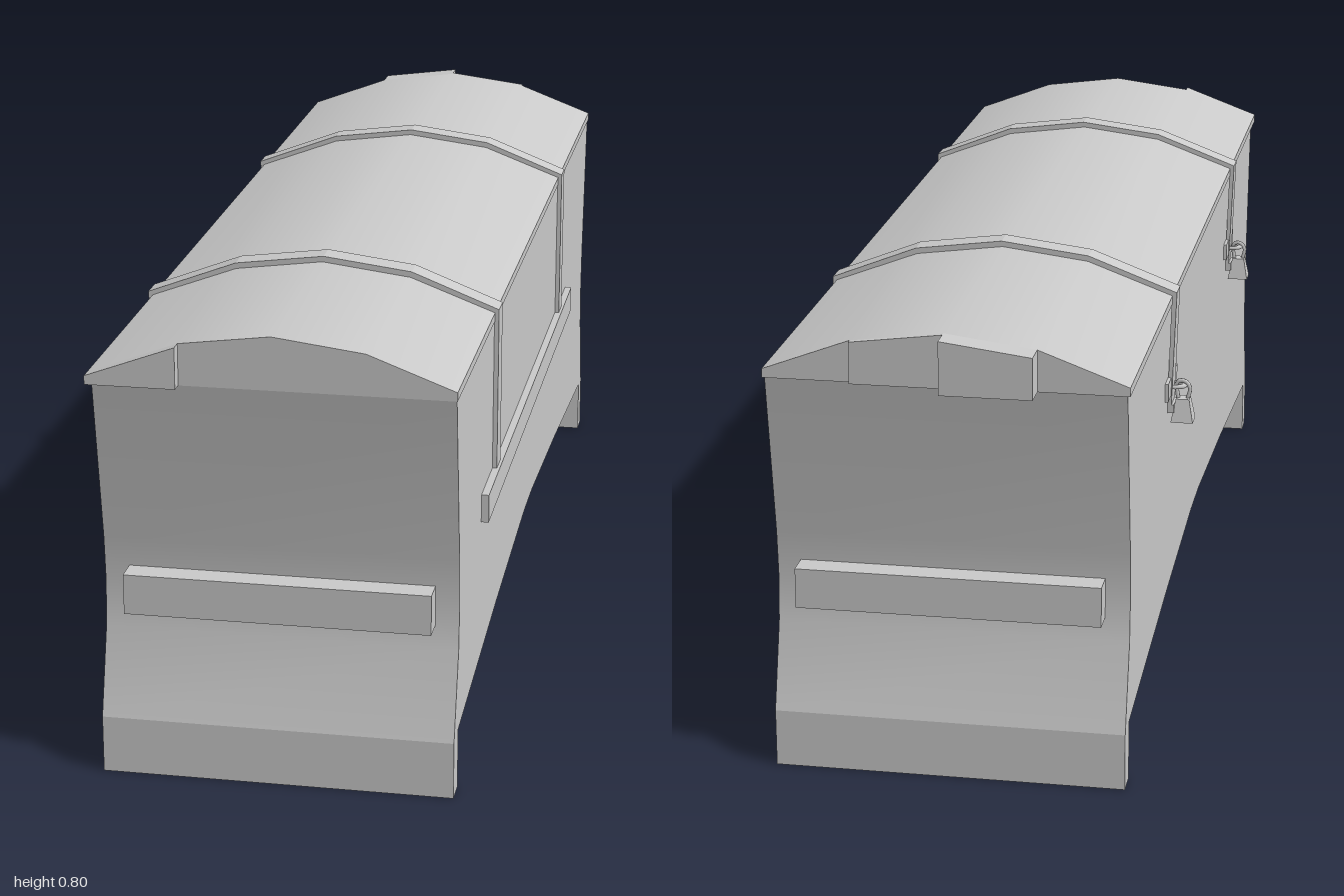
import * as THREE from 'three';
import { toCreasedNormals } from 'three/addons/utils/BufferGeometryUtils.js';

const material = new THREE.MeshStandardMaterial({ color: 0xcccccc });

function add(parent, name, geometry, x = 0, y = 0, z = 0) {
  const mesh = new THREE.Mesh(geometry, material);
  mesh.name = name;
  mesh.position.set(x, y, z);
  parent.add(mesh);
  return mesh;
}

// Extrude a list of [u, v] points, smoothing only the shallow bends
function extrude(points, depth, crease) {
  const shape = new THREE.Shape(points.map(([u, v]) => new THREE.Vector2(u, v)));
  return toCreasedNormals(new THREE.ExtrudeGeometry(shape, { depth, bevelEnabled: false }), crease);
}

// Box given by its minimum and maximum on each axis
function box(parent, name, [x0, x1], [y0, y1], [z0, z1]) {
  return add(parent, name, new THREE.BoxGeometry(x1 - x0, y1 - y0, z1 - z0),
    (x0 + x1) / 2, (y0 + y1) / 2, (z0 + z1) / 2);
}

// Padlock hanging on a staple
function createPadlock() {
  const lock = new THREE.Group();
  lock.name = 'padlock';
  const body = new THREE.CylinderGeometry(0.012 * Math.SQRT2, 0.02 * Math.SQRT2, 0.042, 4, 1);
  body.rotateY(Math.PI / 4);
  add(lock, 'lockBody', toCreasedNormals(body, 0.3), -0.31, 0.499, 0);

  const shackle = new THREE.CatmullRomCurve3([
    [-0.318, 0.518], [-0.322, 0.54], [-0.311, 0.552], [-0.299, 0.549], [-0.301, 0.518],
  ].map(([x, y]) => new THREE.Vector3(x, y, 0)));
  add(lock, 'shackle', new THREE.TubeGeometry(shackle, 12, 0.004, 6));

  const staple = new THREE.TorusGeometry(0.014, 0.004, 6, 10, Math.PI);
  staple.rotateX(Math.PI / 2);
  staple.rotateY(-Math.PI / 2);
  staple.scale(1.6, 1, 1);
  // keep the loop's open side against the chest
  staple.computeBoundingBox();
  if (Math.abs(staple.boundingBox.max.x) > Math.abs(staple.boundingBox.min.x)) staple.rotateY(Math.PI);
  add(lock, 'staple', staple, -0.29, 0.543, 0);
  return lock;
}

export function createModel() {
  const chest = new THREE.Group();
  chest.name = 'chest';
  const midZ = 0.0175;

  // Body: waisted side outline with feet and an arched underside
  const half = [
    [0.06, 0.17], [0.45, 0.145], [0.912, 0.105], [0.912, 0], [0.957, 0], [0.957, 0.1],
    [0.914, 0.25], [0.908, 0.33], [0.914, 0.41], [0.96, 0.7],
  ];
  const outline = [
    ...half.map(([z, y]) => [midZ + z, y]),
    ...half.map(([z, y]) => [midZ - z, y]).reverse(),
  ];
  const body = extrude(outline, 0.6, 0.26);
  body.rotateY(-Math.PI / 2);
  add(chest, 'body', body, 0.315);

  // Lid: faceted barrel top, with boards of uneven length at the ends
  const roof = [[0.316, 0.715], [0.168, 0.771], [0.013, 0.791], [-0.14, 0.771], [-0.291, 0.715]];
  const lid = extrude([[-0.291, 0.7], [0.316, 0.7], ...roof], 1.933, 0.5);
  add(chest, 'lid', lid, 0, 0, -0.955);
  const boardEnds = [
    { board: 3, from: 0.978, to: 1 },
    { board: 2, from: -1, to: -0.955 },
    { board: 1, from: -0.965, to: -0.955 },
  ];
  for (const { board, from, to } of boardEnds) {
    const [right, left] = [roof[board], roof[board + 1]];
    const end = extrude([[left[0], 0.7], [right[0], 0.7], right, left], to - from, 0.3);
    add(chest, 'lidBoardEnd', end, 0, 0, from);
  }

  // Straps over the lid, each with a hasp and padlock
  const strapOutline = [
    [0.314, 0.42], [0.323, 0.42], [0.323, 0.721], [0.17, 0.781], [0.015, 0.801], [-0.141, 0.781],
    [-0.299, 0.721], [-0.291, 0.498], [-0.284, 0.498], [-0.29, 0.714],
    [-0.14, 0.77], [0.013, 0.79], [0.168, 0.77], [0.314, 0.714],
  ];
  for (const z of [0.523, -0.409]) {
    const fitting = new THREE.Group();
    fitting.name = 'strapAssembly';
    fitting.position.z = z;
    add(fitting, 'strap', extrude(strapOutline, 0.045, 0.1), 0, 0, -0.0225);
    box(fitting, 'strapTip', [-0.296, -0.284], [0.497, 0.512], [-0.0225, 0.0225]);
    box(fitting, 'haspPlate', [-0.291, -0.284], [0.53, 0.563], [-0.062, 0.062]);
    fitting.add(createPadlock());
    chest.add(fitting);
  }

  // Side rail and the two end handles
  box(chest, 'sideRail', [0.31, 0.328], [0.38, 0.43], [-0.568, 0.68]);
  for (const side of [1, -1]) {
    const handle = box(chest, 'endHandle', [-0.243, 0.275], [0.29, 0.36], [0.9, 0.954]);
    handle.position.z = midZ + side * 0.927;
  }
  return chest;
}
